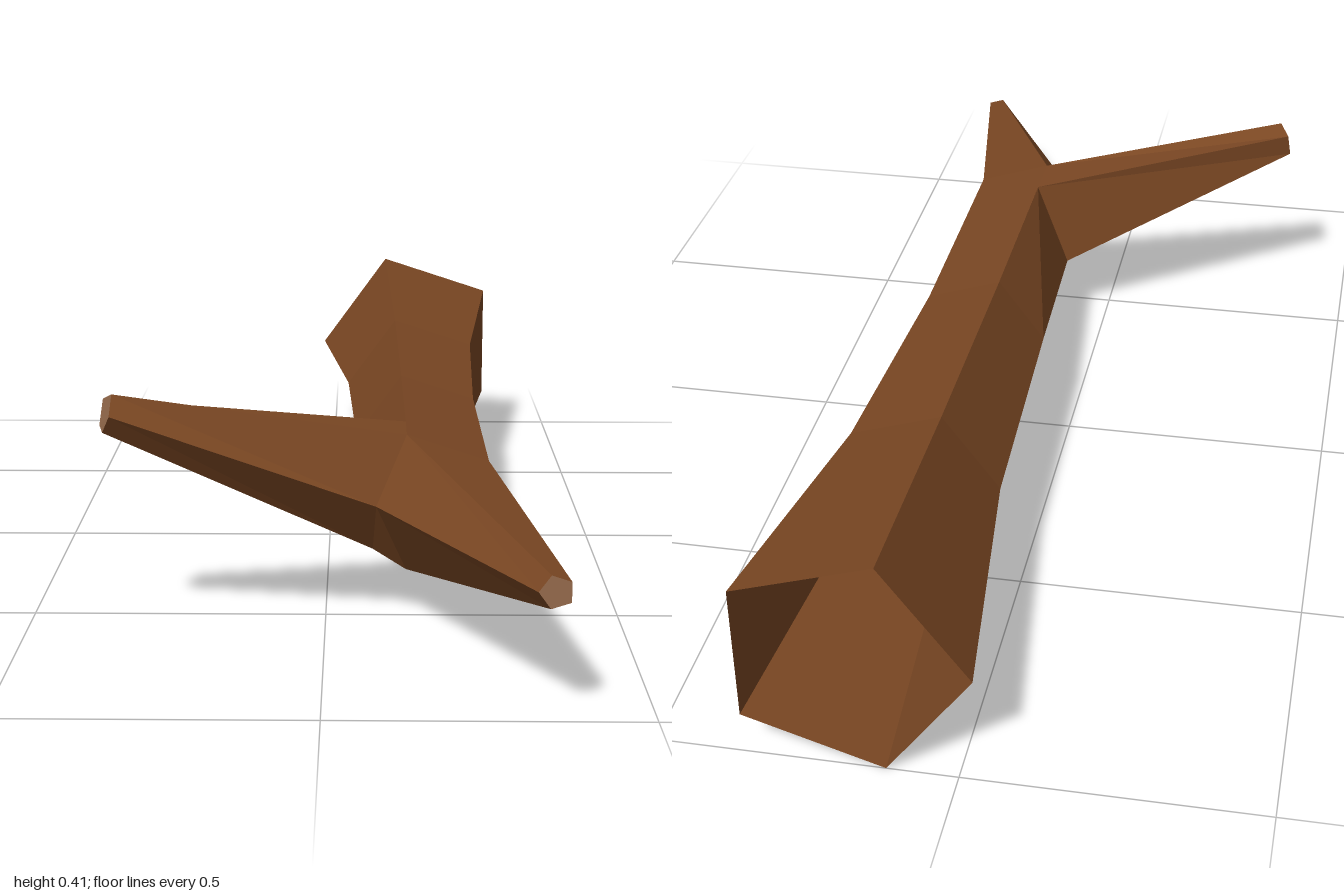
import * as THREE from 'three';

const V = (x, y, z) => new THREE.Vector3(x, y, z);

// five-sided ring around the trunk axis: one flat side to +x, one corner to -x
function ring(cx, r, z) {
  return [36, 108, 180, 252, 324].map((deg) => {
    const a = THREE.MathUtils.degToRad(deg);
    return V(cx + r * Math.cos(a), 0.202 + r * Math.sin(a), z);
  });
}

// polygon as a fan of triangles
function fan(...p) {
  const out = [];
  for (let i = 1; i < p.length - 1; i++) out.push(p[0], p[i], p[i + 1]);
  return out;
}

// quads joining two loops, optionally only some sides
function bridge(a, b, sides = [0, 1, 2, 3, 4]) {
  return sides.flatMap((i) => {
    const j = (i + 1) % a.length;
    return fan(a[i], a[j], b[j], b[i]);
  });
}

function mesh(name, points, material) {
  const geometry = new THREE.BufferGeometry().setFromPoints(points);
  geometry.computeVertexNormals();
  const m = new THREE.Mesh(geometry, material);
  m.name = name;
  return m;
}

export function createModel() {
  const bark = new THREE.MeshStandardMaterial({ color: 0x7a4723, side: THREE.DoubleSide, flatShading: true });
  bark.name = 'bark';
  const cutWood = new THREE.MeshStandardMaterial({ color: 0x966b4c, side: THREE.DoubleSide, flatShading: true });
  cutWood.name = 'cut wood';

  // trunk cross-sections from the flared open end to the narrow tip
  const base = ring(0.183, 0.21, -1);
  const lower = ring(0.178, 0.145, -0.5);
  const middle = ring(0.175, 0.124, 0);
  const fork = ring(0.175, 0.124, 0.5);
  const tip = ring(0.345, 0.027, 1);

  // corners of the opening where the side branch leaves the trunk
  const topBack = V(0.137, 0.32, 0.4);
  const topFront = fork[1];
  const front = V(0.085, 0.213, 0.57);
  const under = V(0.08, 0.12, 0.5);
  const back = V(0.075, 0.15, 0.4);
  fork[2] = front;

  const trunk = [
    ...bridge(base, lower),
    ...bridge(lower, middle),
    ...bridge(middle, fork, [0, 3, 4]),
    // surfaces around the opening
    ...fan(middle[1], middle[2], topBack),
    ...fan(middle[2], back, topBack),
    ...fan(middle[3], fork[3], under, back, middle[2]),
    ...fan(front, under, fork[3]),
    // main stem past the fork
    ...bridge(fork, tip),
  ];

  // side branch
  const branchRoot = [back, under, front, topFront, topBack];
  const branchTip = [
    V(-0.371, 0.353, 0.58), V(-0.363, 0.347, 0.61), V(-0.349, 0.378, 0.632),
    V(-0.347, 0.41, 0.605), V(-0.365, 0.396, 0.573),
  ];

  const group = new THREE.Group();
  group.name = 'forkedBranch';
  group.add(
    mesh('trunk', trunk, bark),
    mesh('sideBranch', bridge(branchRoot, branchTip), bark),
    mesh('trunkCutEnd', fan(...tip), cutWood),
    mesh('sideBranchCutEnd', fan(...branchTip), cutWood),
  );
  return group;
}
